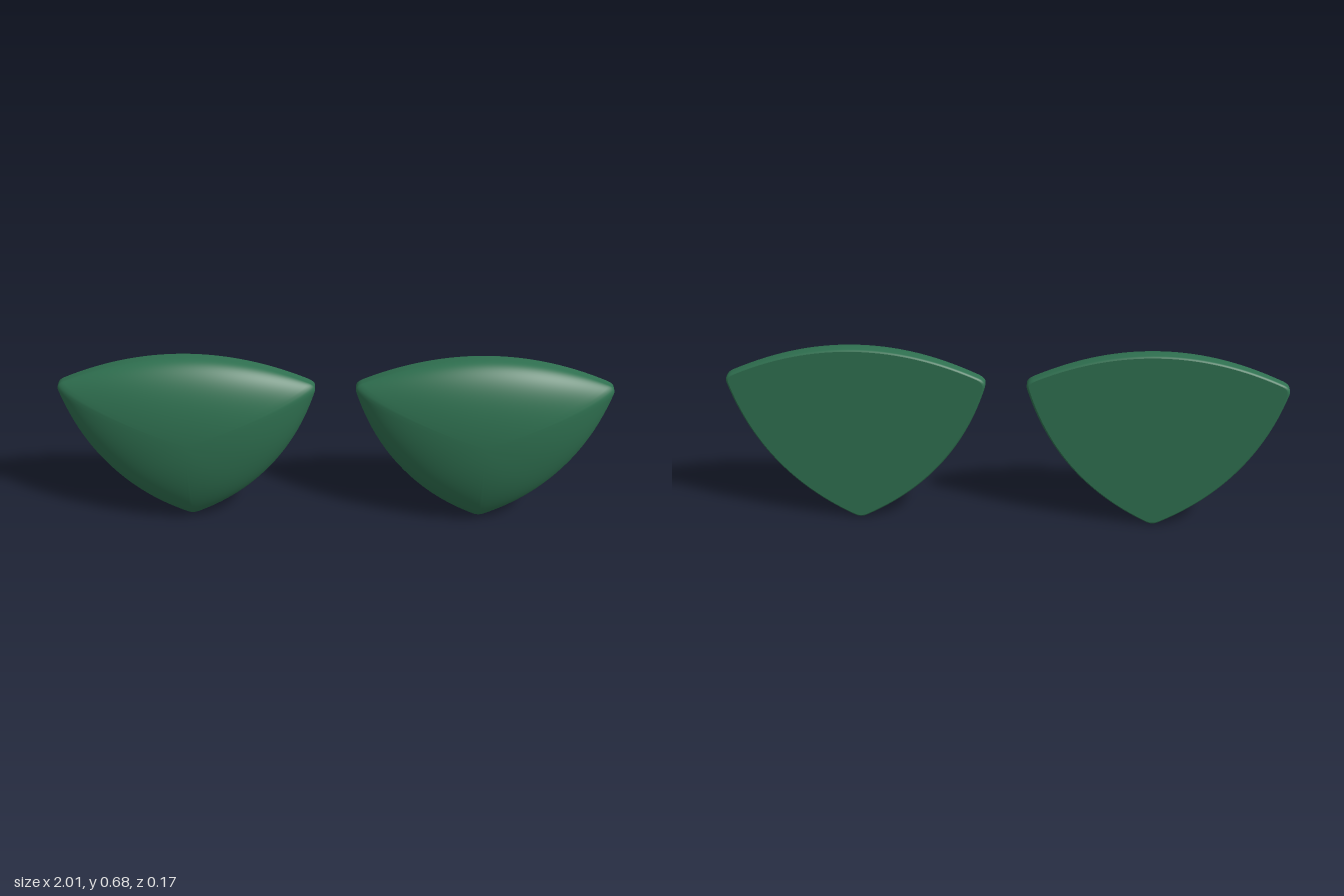
import * as THREE from 'three';

const APEX_Y = 0.386, BACK = -0.085, RIM = -0.05, FRONT = 0.085;

// Rounded-corner outline of three bowed edges, counter-clockwise.
// Each point also stores how close it is to a corner (0..1).
function makeOutline() {
  const right = new THREE.Vector2(0.47, 0.563);
  const left = new THREE.Vector2(-0.47, 0.563);
  const tip = new THREE.Vector2(0, -0.007);
  const edges = [
    [right, new THREE.Vector2(0, 0.793), left],
    [left, new THREE.Vector2(-0.362, 0.168), tip],
    [tip, new THREE.Vector2(0.362, 0.168), right],
  ].map((p) => new THREE.QuadraticBezierCurve(...p));
  const trim = 0.03, steps = 40, points = [];
  edges.forEach((edge, k) => {
    for (let i = 0; i <= steps; i++) {
      const u = trim + (1 - 2 * trim) * (i / steps);
      points.push({ p: edge.getPoint(u), corner: Math.abs(2 * u - 1) ** 3 });
    }
    // small corner fillet leading into the next edge
    const next = edges[(k + 1) % 3];
    const fillet = new THREE.QuadraticBezierCurve(edge.getPoint(1 - trim), edge.v2, next.getPoint(trim));
    for (let i = 1; i < 6; i++) points.push({ p: fillet.getPoint(i / 6), corner: 0.9 });
  });
  return points;
}

// Domed body: bevelled back, short upright rim, swelling front
function makeShell() {
  const outline = makeOutline(), n = outline.length;
  const positions = [], index = [];
  const addRing = (scale, zAt) => {
    for (const o of outline) {
      positions.push(o.p.x * scale, APEX_Y + (o.p.y - APEX_Y) * scale, zAt(o));
    }
  };

  // flat back, with its own ring so its edge stays crisp
  positions.push(0, APEX_Y, BACK);
  addRing(0.98, () => BACK);
  for (let j = 0; j < n; j++) index.push(0, 1 + ((j + 1) % n), 1 + j);

  // bevel, rim and dome rings
  const start = positions.length / 3;
  let rings = 0;
  for (const [s, z] of [[0.98, BACK], [0.992, -0.083], [1, -0.077], [1, RIM]]) {
    addRing(s, () => z);
    rings++;
  }
  const domeSteps = 32;
  for (let i = 1; i < domeSteps; i++) {
    const a = (Math.PI / 2) * (1 - i / domeSteps);
    const t = Math.sin(a);
    addRing(t, (o) => RIM + (FRONT - RIM) * (1 - t * t) ** (0.5 + 0.22 * o.corner));
    rings++;
  }
  for (let r = 0; r < rings - 1; r++) {
    for (let j = 0; j < n; j++) {
      const k = (j + 1) % n;
      const a = start + r * n + j, b = start + r * n + k;
      index.push(a, b, b + n, a, b + n, a + n);
    }
  }
  // front apex
  const apex = positions.length / 3, last = start + (rings - 1) * n;
  positions.push(0, APEX_Y, FRONT);
  for (let j = 0; j < n; j++) index.push(last + j, last + ((j + 1) % n), apex);

  const geometry = new THREE.BufferGeometry();
  geometry.setAttribute('position', new THREE.Float32BufferAttribute(positions, 3));
  geometry.setIndex(index);
  geometry.computeVertexNormals();
  return geometry;
}

export function createModel() {
  const model = new THREE.Group();
  model.name = 'domedTrianglePair';
  const geometry = makeShell();
  const material = new THREE.MeshStandardMaterial({ color: 0x2f7050 });
  for (const [name, x] of [['leftDome', 0.538], ['rightDome', -0.538]]) {
    const dome = new THREE.Mesh(geometry, material);
    dome.name = name;
    dome.position.x = x;
    model.add(dome);
  }
  return model;
}
